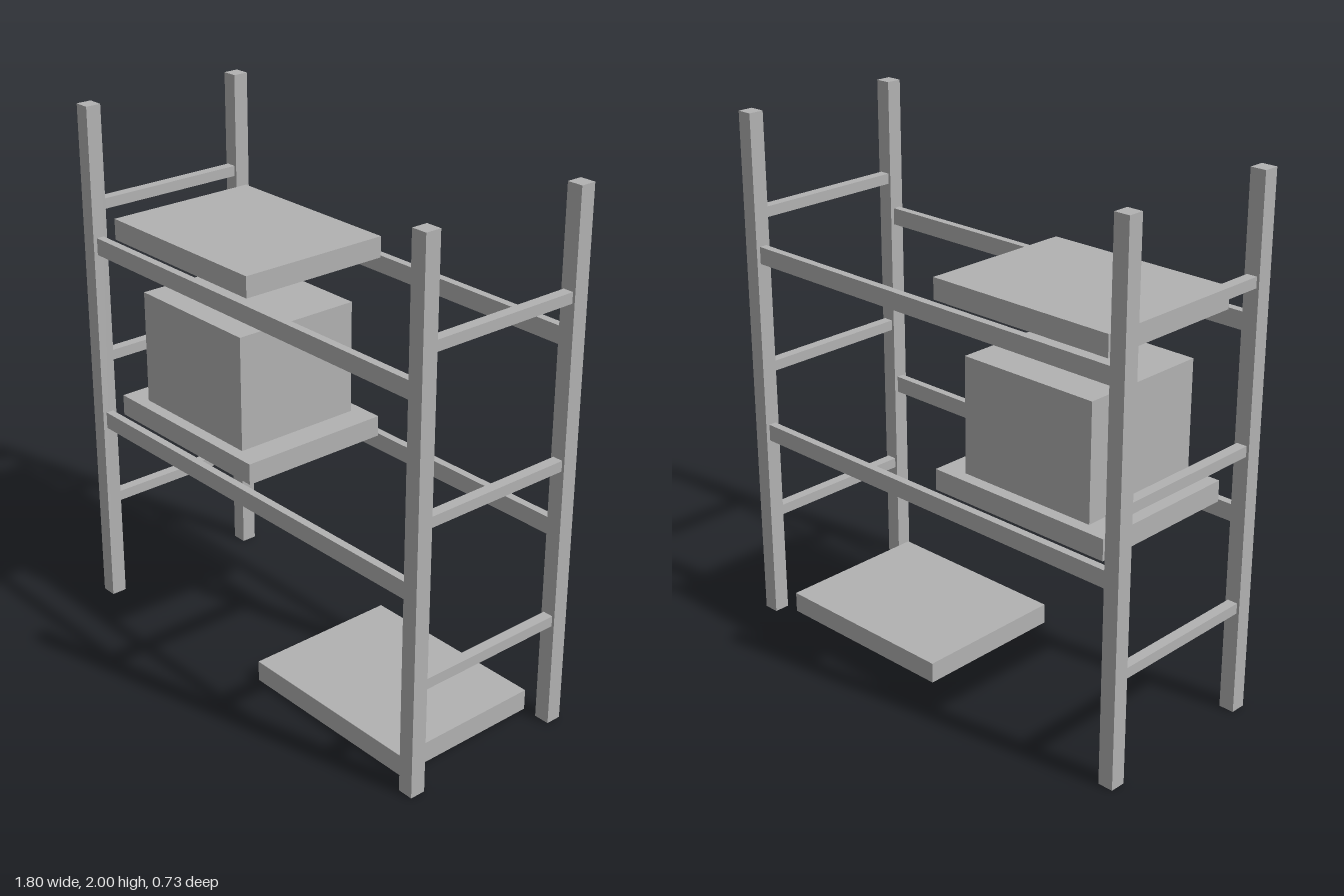
import * as THREE from 'three';

export function createModel() {
  const model = new THREE.Group();
  model.name = 'palletRack';
  const grey = new THREE.MeshStandardMaterial({ color: 0xb2b2b2 });
  grey.name = 'grey';

  // Box standing on height y
  const box = (name, w, h, d, x, y, z) => {
    const mesh = new THREE.Mesh(new THREE.BoxGeometry(w, h, d), grey);
    mesh.name = name;
    mesh.position.set(x, y + h / 2, z);
    model.add(mesh);
  };

  const postX = 0.87, postZ = 0.333, post = 0.06;
  const beamLevels = [0.735, 1.44];
  const rungLevels = [0.4, 1.003, 1.604];

  // Corner posts
  for (const sx of [-1, 1])
    for (const sz of [-1, 1]) box('post', post, 2, post, sx * postX, 0, sz * postZ);

  // Long beams, front and back
  for (const y of beamLevels)
    for (const sz of [-1, 1]) box('beam', 2 * postX - post, 0.065, 0.03, 0, y, sz * postZ);

  // Rungs joining the posts at each end
  for (const y of rungLevels)
    for (const sx of [-1, 1]) box('rung', 0.04, 0.04, 2 * postZ - post, sx * postX, y, 0);

  // Pallets: one on the floor, one on each beam level
  for (const [x, y] of [[0.4, 0], [-0.4, 0.8], [-0.4, 1.505]])
    box('pallet', 0.767, 0.08, 0.61, x, y, 0);

  // Crate on the middle pallet
  box('crate', 0.567, 0.437, 0.517, -0.4, 0.88, 0);

  return model;
}
